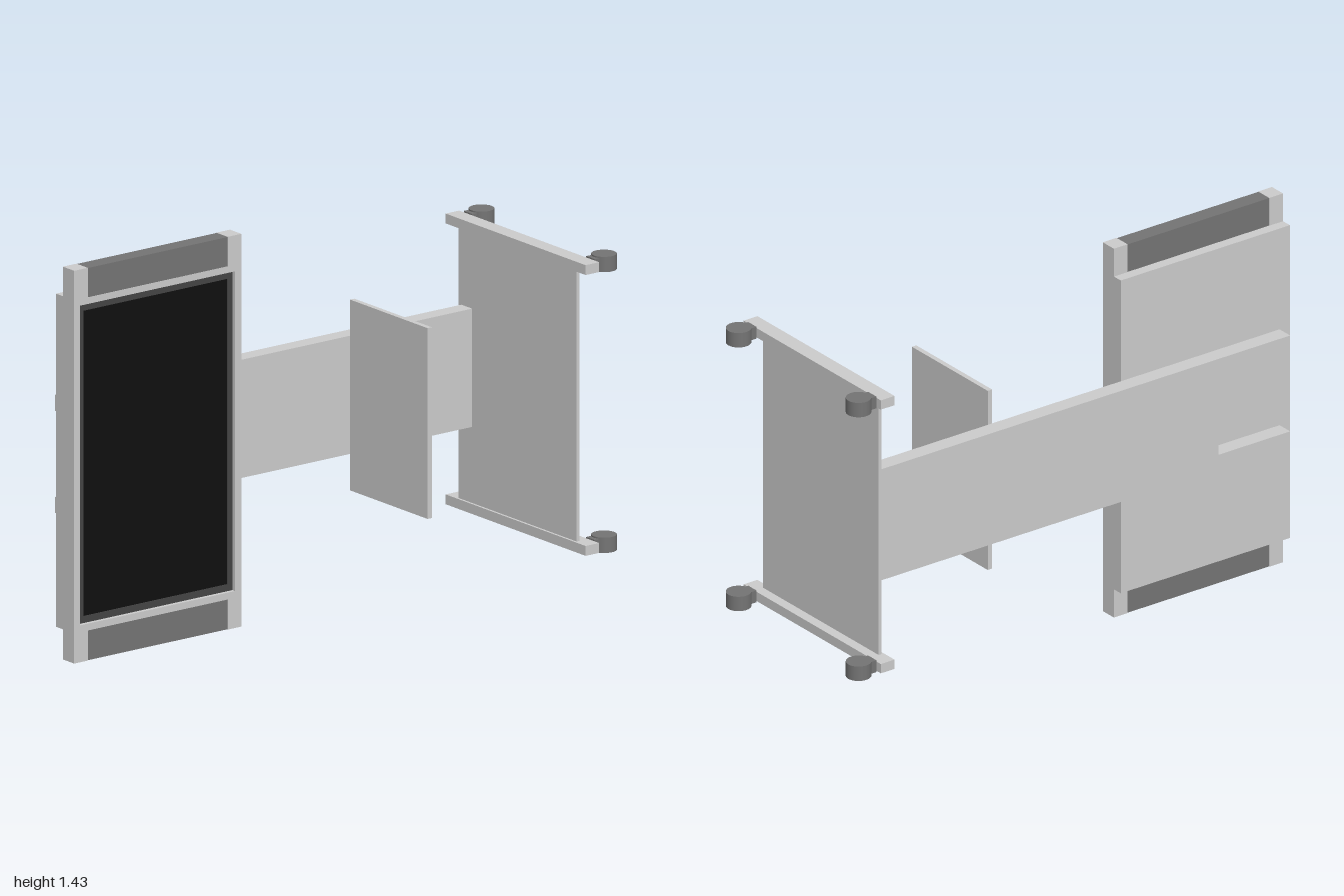
import * as THREE from 'three';

const mat = (color) => new THREE.MeshStandardMaterial({ color });
const grey = mat(0xcccccc);
const darkGrey = mat(0x747474);
const bezelGrey = mat(0x444444);
const black = mat(0x101010);

// Box given by its limits on each axis
function box(name, material, [x0, x1], [y0, y1], [z0, z1]) {
  const mesh = new THREE.Mesh(new THREE.BoxGeometry(x1 - x0, y1 - y0, z1 - z0), material);
  mesh.position.set((x0 + x1) / 2, (y0 + y1) / 2, (z0 + z1) / 2);
  mesh.name = name;
  return mesh;
}

const rect = (z0, z1, y0, y1) => [[z0, y0], [z1, y0], [z1, y1], [z0, y1]];

// Slab cut from an outline of [z, y] points, lying between x0 and x1
function slab(name, material, [x0, x1], outline, hole) {
  const toPoints = (list) => list.map(([z, y]) => new THREE.Vector2(z, y));
  const shape = new THREE.Shape(toPoints(outline));
  if (hole) shape.holes.push(new THREE.Path(toPoints(hole)));
  const geometry = new THREE.ExtrudeGeometry(shape, { depth: x1 - x0, bevelEnabled: false });
  geometry.rotateY(-Math.PI / 2);
  const mesh = new THREE.Mesh(geometry, material);
  mesh.position.x = x1;
  mesh.name = name;
  return mesh;
}

function createDisplay() {
  const display = new THREE.Group();
  display.name = 'display';
  // Frame with a screen opening and a notch at each end for the dark bars
  const outline = [
    [0.26, 0], [0.32, 0], [0.32, 0.11], [0.94, 0.11], [0.94, 0], [1, 0],
    [1, 1.435], [0.94, 1.435], [0.94, 1.327], [0.32, 1.327], [0.32, 1.435], [0.26, 1.435],
  ];
  const opening = rect(0.288, 0.975, 0.135, 1.303);
  display.add(
    slab('displayFrame', grey, [-0.22, -0.155], outline, opening),
    slab('screenBezel', bezelGrey, [-0.2, -0.17], opening, rect(0.31, 0.948, 0.16, 1.276)),
    box('screen', black, [-0.22, -0.173], [0.16, 1.276], [0.31, 0.948]),
    box('displayBack', grey, [-0.26, -0.22], [0.11, 1.327], [0.26, 1]),
    box('lowerEndBar', darkGrey, [-0.219, -0.156], [0.001, 0.11], [0.32, 0.94]),
    box('upperEndBar', darkGrey, [-0.219, -0.156], [1.327, 1.434], [0.32, 0.94]),
  );
  return display;
}

// Wheel with a short neck joining it to the rail
function createCaster(x, y) {
  const caster = new THREE.Group();
  caster.name = 'caster';
  const wheel = new THREE.Mesh(new THREE.CylinderGeometry(0.045, 0.045, 0.056, 32), darkGrey);
  wheel.name = 'casterWheel';
  wheel.position.z = -0.955;
  const neck = box('casterNeck', darkGrey, [-0.024, 0.024], [-0.023, 0.023], [-0.93, -0.895]);
  caster.add(wheel, neck);
  caster.position.set(x, y, 0);
  return caster;
}

function createBase() {
  const base = new THREE.Group();
  base.name = 'base';
  base.add(box('basePlate', grey, [-0.337, 0.337], [0.224, 1.215], [-0.857, -0.844]));
  for (const y of [0.207, 1.233]) {
    base.add(box('baseRail', grey, [-0.4, 0.4], [y - 0.018, y + 0.018], [-0.895, -0.835]));
    for (const x of [-0.35, 0.35]) base.add(createCaster(x, y));
  }
  return base;
}

export function createModel() {
  const model = new THREE.Group();
  model.name = 'displayStand';
  // Column with a forked end behind the display
  const column = slab('column', grey, [-0.322, -0.26], [
    [-0.844, 0.503], [0.955, 0.503], [0.955, 0.562], [0.64, 0.562],
    [0.64, 0.876], [0.955, 0.876], [0.955, 0.935], [-0.844, 0.935],
  ]);
  const shelf = box('shelf', grey, [-0.26, 0.183], [0.37, 1.067], [-0.322, -0.303]);
  model.add(createDisplay(), column, shelf, createBase());
  return model;
}
